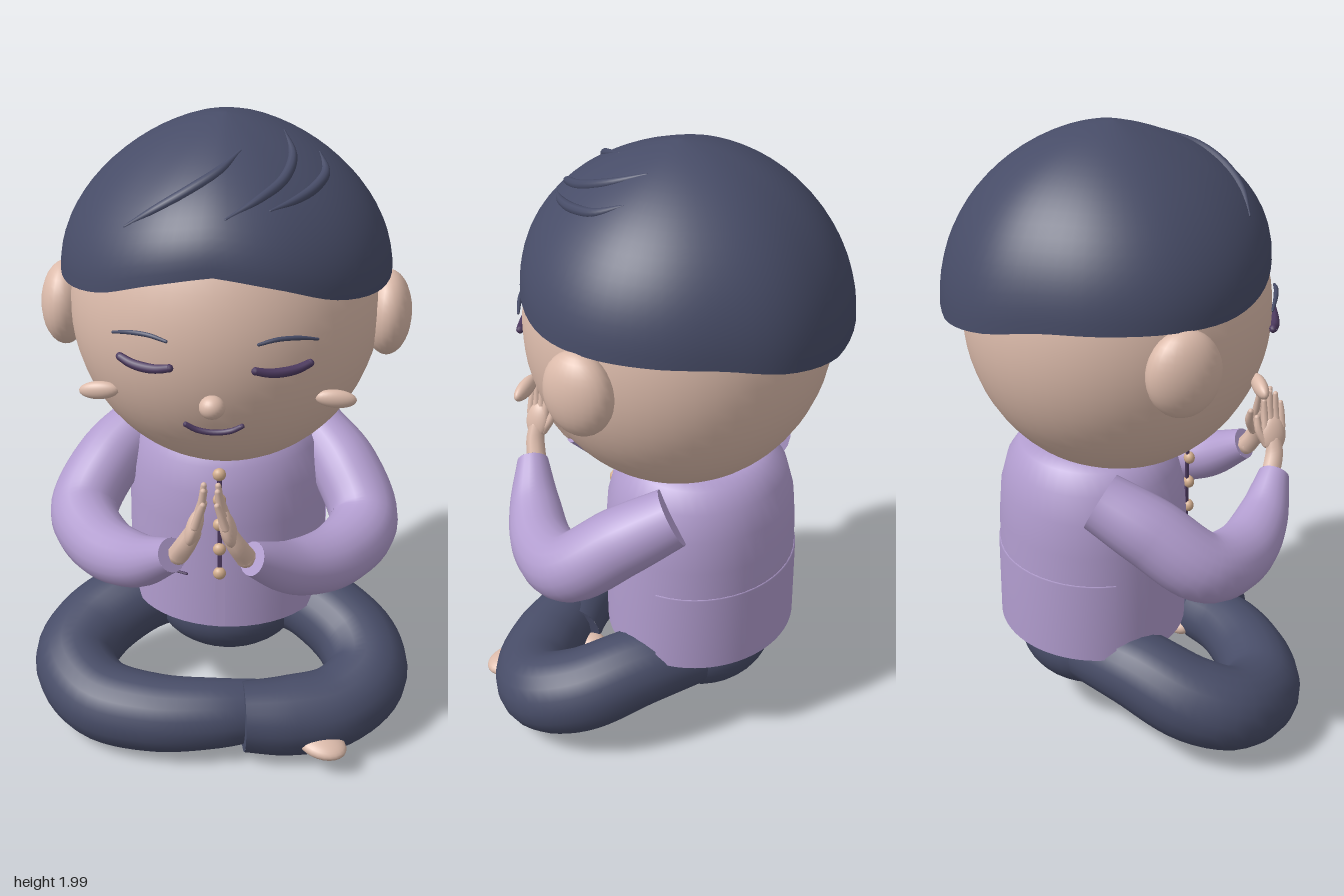
import * as THREE from 'three';

const paint = (name, color) => Object.assign(new THREE.MeshStandardMaterial({ color }), { name });

export function createModel() {
  const model = new THREE.Group();
  model.name = 'meditatingFigure';
  const skin = paint('skin', 0xdcbbab);
  const navy = paint('navy', 0x484d68);
  const lavender = paint('lavender', 0xb29dcf);
  const plum = paint('plum', 0x4d3a60);
  const tan = paint('tan', 0xd3ae8e);
  const hairMat = paint('hair', 0x474c67);
  hairMat.side = lavender.side = THREE.DoubleSide;

  const add = (name, geo, mat, parent = model) => {
    const m = new THREE.Mesh(geo, mat);
    m.name = name;
    parent.add(m);
    return m;
  };
  const ball = (name, mat, pos, rad, parent = model, seg = 24) => {
    const m = add(name, new THREE.SphereGeometry(1, seg, Math.ceil(seg * 0.7)), mat, parent);
    m.position.set(...pos);
    m.scale.set(...rad);
    return m;
  };

  // Tube whose radius follows its own curve, with flat or rounded ends
  const limb = (name, mat, pts, radii, { parent = model, steps = 40, sides = 20, flat = false } = {}) => {
    const g = new THREE.Group();
    g.name = name;
    parent.add(g);
    const curve = new THREE.CatmullRomCurve3(pts.map(p => new THREE.Vector3(...p)));
    const rc = new THREE.CatmullRomCurve3(radii.map((r, i) => new THREE.Vector3(r, i * 0.1, 0)));
    const geo = new THREE.TubeGeometry(curve, steps, 1, sides);
    const pos = geo.attributes.position, v = new THREE.Vector3();
    for (let i = 0; i <= steps; i++) {
      const c = curve.getPointAt(i / steps);
      const r = rc.getPoint(curve.getUtoTmapping(i / steps)).x;
      for (let j = 0; j <= sides; j++) {
        const k = i * (sides + 1) + j;
        v.fromBufferAttribute(pos, k).sub(c).multiplyScalar(r).add(c);
        pos.setXYZ(k, v.x, v.y, v.z);
      }
    }
    add(name + 'Tube', geo, mat, g);
    [0, 1].forEach(t => {
      const i = t * (pts.length - 1), r = radii[i];
      if (!flat) return ball(name + 'End', mat, pts[i], [r, r, r], g, sides);
      const cap = add(name + 'Cap', new THREE.CircleGeometry(r, sides), mat, g);
      cap.position.set(...pts[i]);
      cap.lookAt(curve.getTangentAt(t).multiplyScalar(t ? 1 : -1).add(cap.position));
    });
  };

  // Head, ears and nose
  const HC = [0, 1.42, -0.02], HR = [0.478, 0.512, 0.475];
  ball('head', skin, HC, HR, model, 48);
  ball('nose', skin, [0, 1.28, 0.462], [0.038, 0.035, 0.035]);
  const onFace = (x, y, off) =>
    [x, y, HC[2] + off + HR[2] * Math.sqrt(1 - (x / HR[0]) ** 2 - ((y - HC[1]) / HR[1]) ** 2)];
  const faceLine = (name, mat, pts, r, off) =>
    limb(name, mat, pts.map(([x, y]) => onFace(x, y, off)), r, { steps: 16, sides: 8 });

  faceLine('mouth', plum, [[-0.082, 1.199], [-0.05, 1.181], [0, 1.173], [0.05, 1.181], [0.082, 1.199]],
    [0.008, 0.009, 0.009, 0.009, 0.008], 0.014);
  for (const s of [1, -1]) {
    ball('ear', skin, [s * 0.497, 1.4, 0.003], [0.074, 0.133, 0.114]);
    ball('cheek', skin, [s * 0.35, 1.248, 0.31], [0.062, 0.028, 0.022]).rotation.set(0, s * 0.12, s * -0.12);
    faceLine('closedEye', plum, [[s * 0.122, 1.393], [s * 0.16, 1.383], [s * 0.2, 1.38], [s * 0.24, 1.383], [s * 0.273, 1.393]],
      [0.012, 0.014, 0.015, 0.014, 0.012], 0.012);
    faceLine('eyebrow', hairMat, [[s * 0.13, 1.474], [s * 0.18, 1.483], [s * 0.24, 1.478], [s * 0.293, 1.462]],
      [0.005, 0.007, 0.007, 0.004], 0.014);
  }

  // Hair cap: wavy rim with its own radius, domed up to the crown, steeper at the back
  const RIM_R = [0.46, 0.472, 0.487, 0.5, 0.505, 0.5, 0.5, 0.525, 0.53];
  const RIM_Y = [1.66, 1.622, 1.56, 1.53, 1.53, 1.53, 1.52, 1.48, 1.45];
  const HZ = -0.03, TOP = 2;
  const dome = th => 1.3 + 0.2 * Math.cos(th);
  const curves = [RIM_R, RIM_Y].map(a =>
    new THREE.SplineCurve(a.map((v, i) => new THREE.Vector2(i, v))));
  const rim = th => {
    const t = Math.acos(THREE.MathUtils.clamp(Math.cos(th), -1, 1)) / Math.PI;
    return curves.map(c => c.getPoint(t).y);
  };
  const N = 72, M = 20, verts = [], index = [];
  for (let j = -2; j <= M; j++) {
    for (let i = 0; i < N; i++) {
      const th = (i / N) * Math.PI * 2, [R, E] = rim(th);
      const phi = (Math.max(j, 0) / M) * Math.PI / 2;
      const r = j === -2 ? R * 0.9 : R * Math.max(Math.cos(phi), 0) ** dome(th);
      const y = j === -2 ? E + 0.02 : E + (TOP - E) * Math.sin(phi);
      verts.push(Math.sin(th) * r, y, HZ + Math.cos(th) * r);
      if (j < M) {
        const a = (j + 2) * N + i, b = (j + 2) * N + (i + 1) % N;
        index.push(a, b, b + N, a, b + N, a + N);
      }
    }
  }
  const hairGeo = new THREE.BufferGeometry();
  hairGeo.setAttribute('position', new THREE.Float32BufferAttribute(verts, 3));
  hairGeo.setIndex(index);
  hairGeo.computeVertexNormals();
  add('hairCap', hairGeo, hairMat);

  // Raised locks lying on the cap
  const onHair = ([x, z]) => {
    const th = Math.atan2(x, z - HZ), [R, E] = rim(th);
    const c = Math.min(1, Math.hypot(x, z - HZ) / R) ** (1 / dome(th));
    return [x, E + (TOP - E) * Math.sqrt(1 - c * c) - 0.003, z];
  };
  [
    [[-0.26, 0.295], [-0.17, 0.305], [-0.08, 0.285], [0, 0.235], [0.055, 0.15]],
    [[0.03, 0.36], [0.12, 0.29], [0.18, 0.2], [0.2, 0.09], [0.17, -0.02]],
    [[0.15, 0.31], [0.22, 0.24], [0.27, 0.16], [0.295, 0.07], [0.275, -0.01]],
  ].forEach(p => limb('hairLock', hairMat, p.map(onHair), [0.004, 0.013, 0.016, 0.014, 0.004],
    { steps: 24, sides: 10 }));

  // Jacket with a slightly raised back skirt panel that ends at the side vents
  const lathe = (name, pts, start = 0, length = Math.PI * 2) => {
    const m = add(name, new THREE.LatheGeometry(pts.map(p => new THREE.Vector2(...p)), 48, start, length), lavender);
    m.scale.z = 0.925;
    m.position.z = -0.105;
  };
  lathe('jacketBody', [[0.326, 0.345], [0.328, 0.5], [0.326, 0.72], [0.317, 0.83], [0.292, 0.92], [0.25, 0.98], [0.2, 1.0], [0, 1.0]]);
  lathe('jacketUnderside', [[0, 0.36], [0.326, 0.345]]);
  lathe('backSkirtPanel', [[0.326, 0.345], [0.332, 0.347], [0.332, 0.62], [0.326, 0.622]], 1.686, Math.PI * 2 - 3.372);
  const plate = (name, mat, w, h, y, z) =>
    add(name, new THREE.BoxGeometry(w, h, 0.009), mat).position.set(0, y, z);
  plate('placket', lavender, 0.03, 0.4, 0.55, 0.199);
  plate('buttonCord', plum, 0.014, 0.39, 0.75, 0.225);
  for (const y of [0.575, 0.665, 0.755, 0.845, 0.935])
    ball('button', tan, [0, y, 0.232], [0.021, 0.021, 0.018], model, 16);

  // Pocket outlines, open toward the middle
  const onJacket = (x, y) => [x, y, -0.09 + 0.305 * Math.sqrt(1 - (x / 0.33) ** 2)];
  for (const s of [1, -1]) {
    const edge = pts => limb('pocketEdge', plum, pts.map(([x, y]) => onJacket(s * x, y)),
      pts.map(() => 0.0048), { steps: 8, sides: 6 });
    edge([[0.11, 0.625], [0.165, 0.632], [0.22, 0.635]]);
    edge([[0.11, 0.545], [0.165, 0.545], [0.22, 0.545]]);
    edge([[0.22, 0.545], [0.22, 0.635]]);
  }

  // Sleeves and praying hands
  for (const s of [1, -1]) {
    limb('sleeve', lavender, [
      [s * 0.285, 0.91, -0.175], [s * 0.385, 0.83, -0.05], [s * 0.452, 0.715, 0.1],
      [s * 0.37, 0.682, 0.26], [s * 0.24, 0.712, 0.39], [s * 0.12, 0.795, 0.485]],
    [0.095, 0.11, 0.11, 0.102, 0.085, 0.052], { flat: true });
    const hand = new THREE.Group();
    hand.name = 'hand';
    model.add(hand);
    const small = { parent: hand, steps: 8, sides: 8 };
    limb('wrist', skin, [[s * 0.1, 0.8, 0.485], [s * 0.075, 0.85, 0.505], [s * 0.055, 0.89, 0.51]],
      [0.033, 0.031, 0.027], small);
    ball('palm', skin, [s * 0.05, 0.91, 0.51], [0.024, 0.063, 0.043], hand).rotation.z = s * 0.3;
    [1.03, 1.06, 1.05, 1.015].forEach((tip, i) => {
      const z = 0.482 + i * 0.02;
      limb('finger', skin, [[s * 0.045, 0.93, z], [s * 0.03, 0.98, z + 0.002], [s * 0.021, tip - 0.01, z + 0.003]],
        [0.013, 0.012, 0.009], small);
    });
    limb('thumb', skin, [[s * 0.055, 0.88, 0.485], [s * 0.04, 0.925, 0.462], [s * 0.025, 0.965, 0.46]],
      [0.016, 0.014, 0.01], small);
  }

  // Seat and crossed legs, the left shin resting in front of the right
  ball('seat', navy, [0, 0.27, -0.12], [0.25, 0.165, 0.23], model, 32);
  limb('leftLeg', navy, [
    [0.14, 0.275, -0.165], [0.31, 0.278, -0.06], [0.45, 0.225, 0.07], [0.483, 0.18, 0.2],
    [0.39, 0.142, 0.315], [0.24, 0.138, 0.375], [0.09, 0.142, 0.4]],
  [0.112, 0.13, 0.138, 0.134, 0.132, 0.128, 0.113], { flat: true });
  limb('rightLeg', navy, [
    [-0.14, 0.275, -0.165], [-0.31, 0.278, -0.06], [-0.45, 0.225, 0.07], [-0.488, 0.183, 0.2],
    [-0.39, 0.145, 0.34], [-0.2, 0.14, 0.4], [0, 0.142, 0.39], [0.13, 0.13, 0.345]],
  [0.112, 0.13, 0.138, 0.134, 0.132, 0.125, 0.113, 0.1], { flat: true });
  ball('rightFoot', skin, [0.345, 0.095, 0.455], [0.085, 0.032, 0.065]).rotation.set(0, -0.5, -0.1);
  ball('leftFoot', skin, [0.12, 0.1, 0.265], [0.045, 0.03, 0.045]);

  return model;
}
